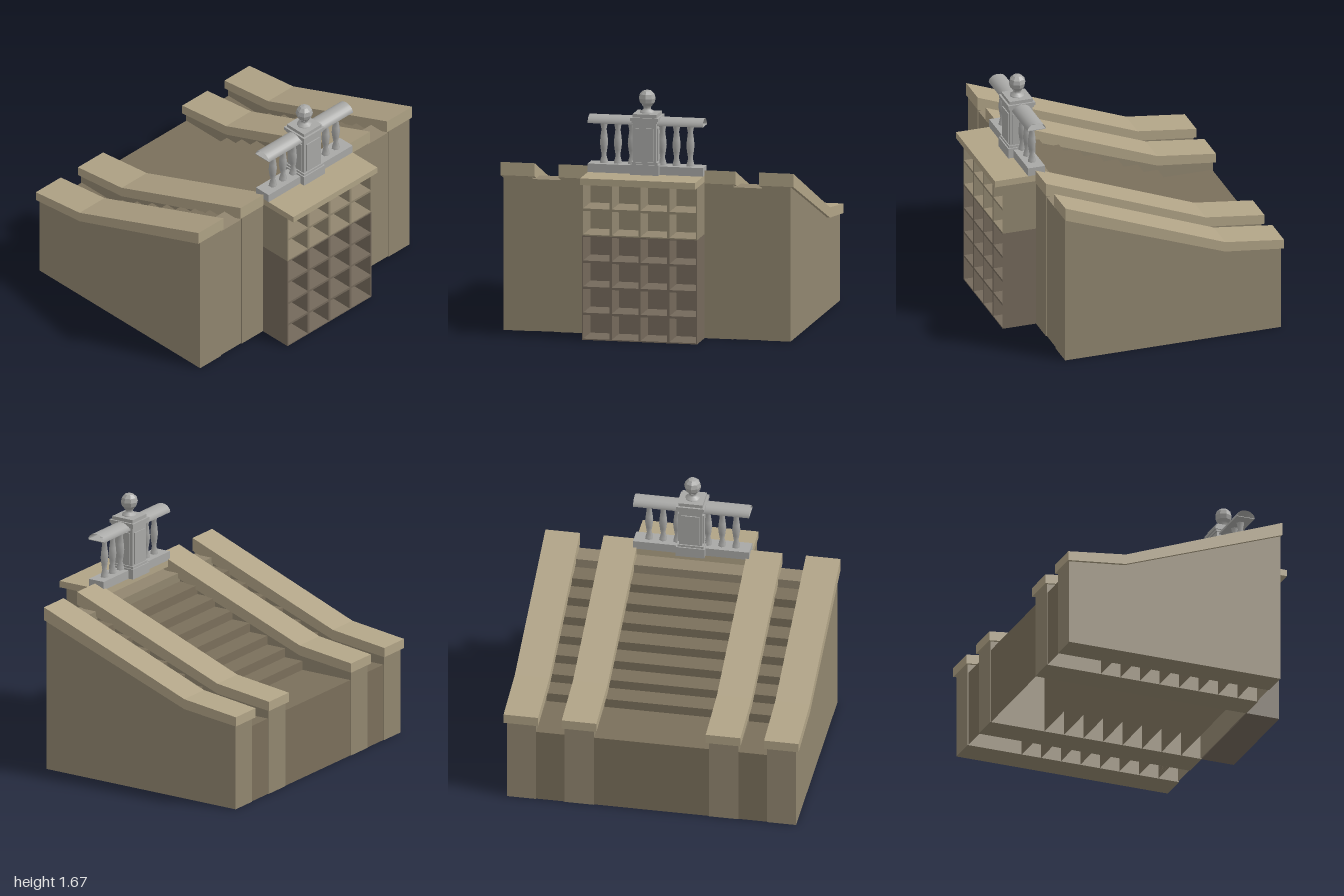
import * as THREE from 'three';

const mat = (color, flatShading = false) =>
  new THREE.MeshStandardMaterial({ color, flatShading, side: THREE.DoubleSide });
const capStone = mat(0xb0a386);
const wallStone = mat(0x91866f);
const stepStone = mat(0x7a6f5b);
const shelfStone = mat(0x74695b);
const greyStone = mat(0xa8a8a6);
const facetedStone = mat(0xa8a8a6, true);

function add(parent, name, geometry, material) {
  const mesh = new THREE.Mesh(geometry, material);
  mesh.name = name;
  parent.add(mesh);
  return mesh;
}

// Box given by its limits on each axis
function box(parent, name, material, [x0, x1], [y0, y1], [z0, z1]) {
  const mesh = add(parent, name, new THREE.BoxGeometry(x1 - x0, y1 - y0, z1 - z0), material);
  mesh.position.set((x0 + x1) / 2, (y0 + y1) / 2, (z0 + z1) / 2);
  return mesh;
}

// Side profile of [z, y] points, swept from x0 to x1
function sweep(parent, name, material, points, x0, x1) {
  const shape = new THREE.Shape(points.map(([z, y]) => new THREE.Vector2(z, y)));
  const geometry = new THREE.ExtrudeGeometry(shape, { depth: x1 - x0, bevelEnabled: false });
  geometry.rotateY(-Math.PI / 2).translate(x1, 0, 0);
  return add(parent, name, geometry, material);
}

function lathe(parent, name, material, profile, sides) {
  const points = profile.map(([r, y]) => new THREE.Vector2(r, y));
  return add(parent, name, new THREE.LatheGeometry(points, sides), material);
}

// Four sloping parapet walls with overhanging copings
function buildParapets(root) {
  const wall = [[-0.9, 0], [0.625, 0], [0.625, 1.055], [-0.5, 0.64], [-0.9, 0.595]];
  const coping = [[-0.915, 0.59], [-0.5, 0.635], [0.63, 1.05], [0.63, 1.14], [-0.5, 0.705], [-0.915, 0.655]];
  for (const side of [-1, 1]) {
    for (const [name, centre, width, capCentre, capWidth] of [
      ['outer', 0.882, 0.196, 0.883, 0.234],
      ['inner', 0.49, 0.2, 0.488, 0.235],
    ]) {
      const x = side * centre, c = side * capCentre;
      sweep(root, name + 'Parapet', wallStone, wall, x - width / 2, x + width / 2);
      sweep(root, name + 'Coping', capStone, coping, c - capWidth / 2, c + capWidth / 2);
    }
  }
}

// Lower landing and eight steps, each a full-height block open at the bottom
function buildStairs(root, name, x0, x1) {
  const start = -0.51, run = 0.141, low = 0.53, top = 1.03, steps = 8;
  for (let i = 0; i <= steps; i++) {
    const z0 = i === 0 ? -0.895 : start + (i - 1) * run;
    const height = low + (i / steps) * (top - low);
    const material = i < steps ? stepStone : wallStone;
    const block = box(root, name, material, [x0, x1], [0, height], [z0, start + i * run]);
    const index = Array.from(block.geometry.index.array);
    index.splice(18, 6);
    block.geometry.setIndex(index);
    block.geometry.clearGroups();
  }
}

// Grid of open compartments under the landing
function buildNiches(root) {
  const group = new THREE.Group();
  group.name = 'nicheWall';
  root.add(group);
  const half = 0.393, rows = 6, cols = 4, h = 1.06 / rows, w = (2 * half) / cols, t = 0.008;
  for (let r = 0; r < rows; r++) {
    const material = r < 4 ? shelfStone : wallStone;
    const y0 = r * h, y1 = y0 + h;
    box(group, 'nicheBack', material, [-half, half], [y0, y1], [0.625, 0.635]);
    box(group, 'nicheShelf', material, [-half, half], [y0, y0 + t], [0.635, 0.86]);
    box(group, 'nicheShelf', material, [-half, half], [y1 - t, y1], [0.635, 0.86]);
    for (let c = 0; c <= cols; c++) {
      const x = -half + c * w;
      box(group, 'nicheDivider', material,
        [Math.max(-half, x - t), Math.min(half, x + t)], [y0, y1], [0.635, 0.86]);
    }
  }
  box(group, 'landingSlab', capStone, [-half, half], [1.06, 1.105], [0.56, 0.915]);
}

// Balustrade with central pier and ball finial, centred on its own axis
function buildBalustrade(root) {
  const group = new THREE.Group();
  group.name = 'balustrade';
  group.position.z = 0.62;
  root.add(group);
  box(group, 'bottomRail', greyStone, [-0.393, 0.393], [1.105, 1.163], [-0.06, 0.06]);

  // Rounded handrail with a flat underside
  const arch = new THREE.CylinderGeometry(1, 1, 0.786, 10, 1, true, 0, Math.PI);
  arch.rotateZ(Math.PI / 2).scale(1, 0.05, 0.064).translate(0, 1.44, 0);
  add(group, 'handrail', arch, greyStone);
  box(group, 'handrailUnderside', greyStone, [-0.393, 0.393], [1.438, 1.442], [-0.063, 0.063]);

  // Balusters
  const vase = [[0.029, 1.16], [0.026, 1.18], [0.016, 1.215], [0.023, 1.255], [0.029, 1.3],
    [0.025, 1.34], [0.018, 1.39], [0.029, 1.445]];
  for (const side of [-1, 1])
    for (const x of [0.105, 0.2, 0.295])
      lathe(group, 'baluster', greyStone, vase, 6).position.x = side * x;

  // Pier with raised panels and moulded cap
  const square = (name, half, y0, y1) =>
    box(group, name, greyStone, [-half, half], [y0, y1], [-half, half]);
  square('pierBase', 0.097, 1.105, 1.175);
  square('pierBaseStep', 0.088, 1.175, 1.19);
  square('pierShaft', 0.079, 1.19, 1.465);
  box(group, 'pierPanel', greyStone, [-0.087, 0.087], [1.2, 1.42], [-0.06, 0.06]);
  box(group, 'pierPanel', greyStone, [-0.06, 0.06], [1.2, 1.42], [-0.087, 0.087]);
  square('pierCapLower', 0.087, 1.455, 1.47);
  square('pierCap', 0.096, 1.47, 1.492);
  square('pierCapUpper', 0.082, 1.492, 1.515);

  // Finial
  lathe(group, 'finialNeck', greyStone,
    [[0.05, 1.51], [0.05, 1.525], [0.027, 1.535], [0.024, 1.55], [0.036, 1.565]], 8);
  const ball = add(group, 'finialBall', new THREE.SphereGeometry(0.058, 8, 6), facetedStone);
  ball.position.y = 1.612;
}

export function createModel() {
  const root = new THREE.Group();
  root.name = 'terraceStairs';
  buildParapets(root);
  buildStairs(root, 'centreStep', -0.392, 0.392);
  buildStairs(root, 'sideStep', 0.588, 0.786);
  buildStairs(root, 'sideStep', -0.786, -0.588);
  buildNiches(root);
  buildBalustrade(root);
  return root;
}
